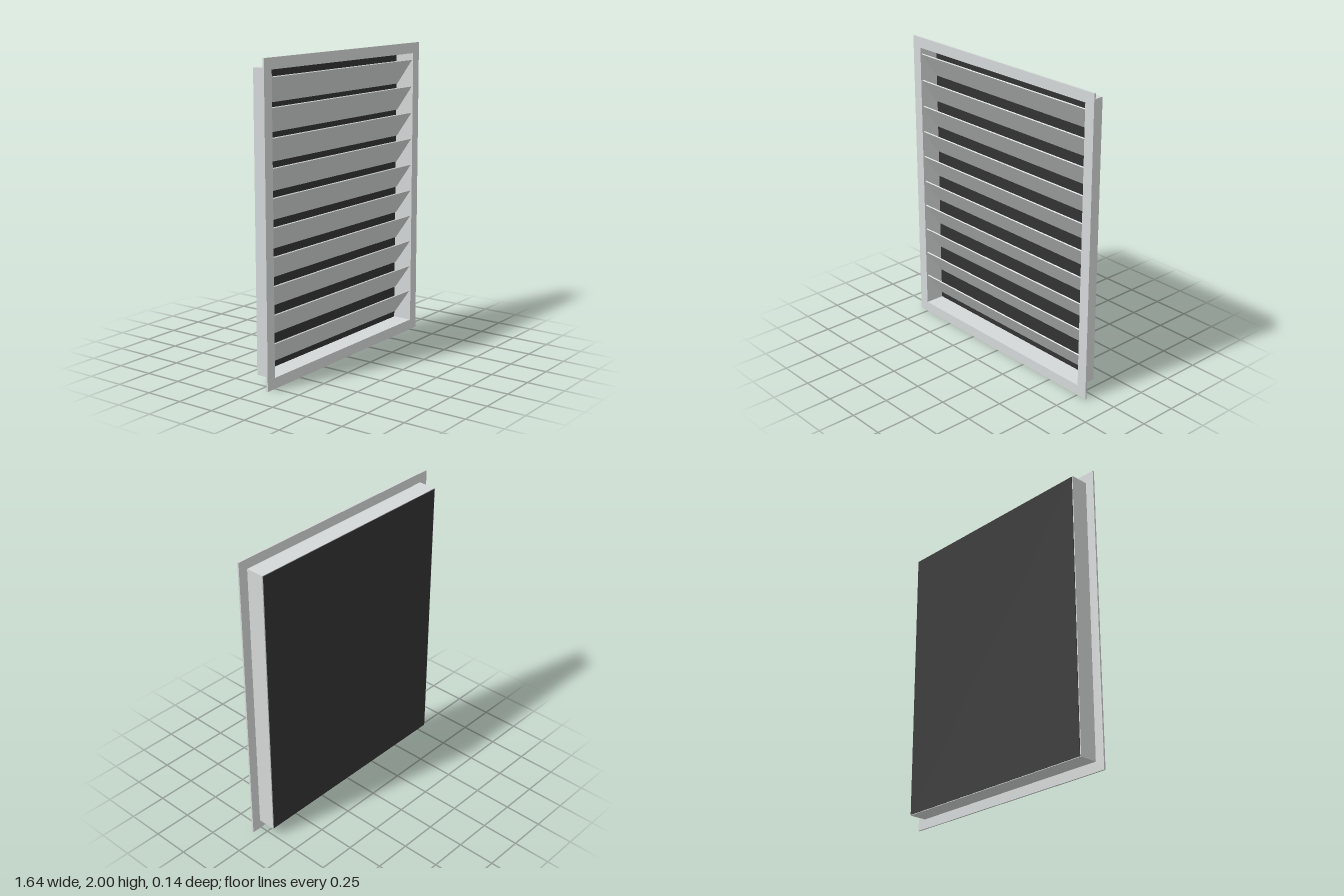
import * as THREE from 'three';

const material = (name, color) => {
  const m = new THREE.MeshStandardMaterial({ color });
  m.name = name;
  return m;
};

// Rectangular ring centred on y = 1, extruded from z0 to z1
function ring(name, mat, outerW, outerH, innerW, innerH, z0, z1) {
  const corners = (w, h) => [[-w, -h], [w, -h], [w, h], [-w, h]]
    .map(([x, y]) => new THREE.Vector2(x / 2, 1 + y / 2));
  const shape = new THREE.Shape(corners(outerW, outerH));
  shape.holes.push(new THREE.Path(corners(innerW, innerH).reverse()));
  const geometry = new THREE.ExtrudeGeometry(shape, { depth: z1 - z0, bevelEnabled: false });
  const mesh = new THREE.Mesh(geometry, mat);
  mesh.position.z = z0;
  mesh.name = name;
  return mesh;
}

export function createModel() {
  const group = new THREE.Group();
  group.name = 'louverVent';
  const metalMat = material('light grey metal', 0xd5d8d8);
  const backMat = material('dark backing', 0x323232);

  // Front flange and the sleeve behind it
  group.add(ring('flange', metalMat, 1.64, 2, 1.5, 1.86, 0.057, 0.068));
  group.add(ring('sleeve', metalMat, 1.516, 1.872, 1.5, 1.86, -0.065, 0.057));

  // Thin backing sheet closing the sleeve
  const backing = new THREE.Mesh(new THREE.BoxGeometry(1.504, 1.864, 0.003), backMat);
  backing.position.set(0, 1, -0.0665);
  backing.name = 'backing';
  group.add(backing);

  // Louvre slats, upper edge tilted forward
  const slats = new THREE.Group();
  slats.name = 'slats';
  const slatGeometry = new THREE.BoxGeometry(1.498, 0.202, 0.008);
  const count = 10;
  for (let i = 0; i < count; i++) {
    const slat = new THREE.Mesh(slatGeometry, metalMat);
    slat.position.set(0, 1 + (i - (count - 1) / 2) * 0.1785, -0.002);
    slat.rotation.x = THREE.MathUtils.degToRad(35);
    slat.name = 'slat' + (i + 1);
    slats.add(slat);
  }
  group.add(slats);
  return group;
}
